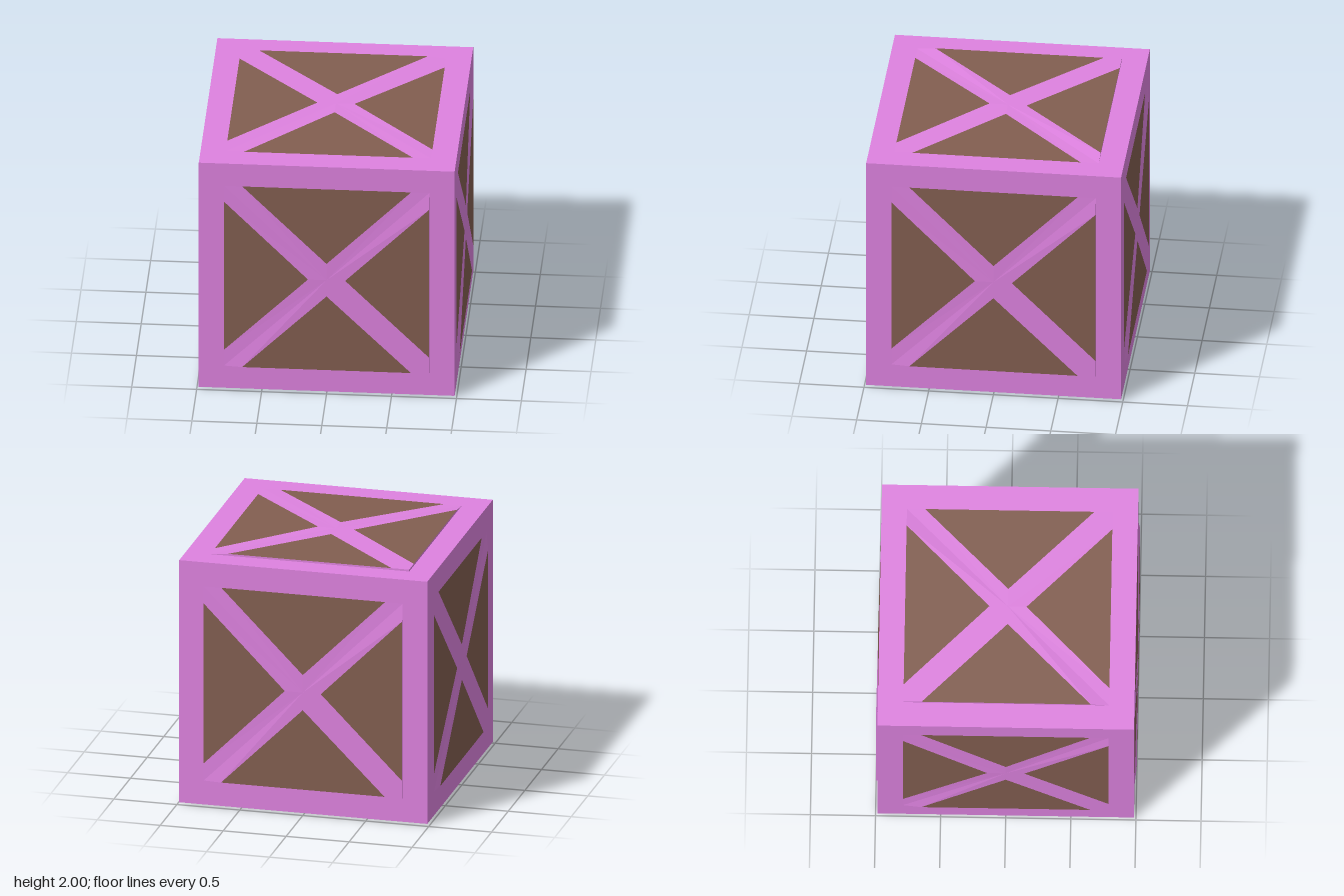
import * as THREE from 'three';

const HALF = 0.985;  // frame surface
const RAISED = 1.0;  // panel surface
const IN = 0.79;     // inner edge of the frame
const END = 0.65;    // where a brace meets the frame
const TIP = 0.143;   // inner tip of each panel

const pink = new THREE.MeshStandardMaterial({ color: 0xde82e0, flatShading: true, side: THREE.DoubleSide });
const brown = new THREE.MeshStandardMaterial({ color: 0x825e50, flatShading: true, side: THREE.DoubleSide });

// Panels stand proud on two sides and slope down to the frame on the other two
const height = (x, y) => (x < -0.78 || y > 0.78 ? HALF + 0.001 : RAISED);

// Fan-triangulated polygons; points are [x, y] or [x, y, z]
function polygons(name, list, material) {
  const pos = [];
  for (const pts of list) {
    const v = pts.map(([x, y, z]) => [x, y, z ?? height(x, y)]);
    for (let i = 1; i < v.length - 1; i++) pos.push(...v[0], ...v[i], ...v[i + 1]);
  }
  const geo = new THREE.BufferGeometry();
  geo.setAttribute('position', new THREE.Float32BufferAttribute(pos, 3));
  geo.computeVertexNormals();
  const mesh = new THREE.Mesh(geo, material);
  mesh.name = name;
  return mesh;
}

// Quarter turns of a flat outline
function quarters(pts) {
  const turns = [pts];
  for (let i = 1; i < 4; i++) turns.push(turns[i - 1].map(([x, y]) => [-y, x]));
  return turns;
}

function createSide(name) {
  const side = new THREE.Group();
  side.name = name;
  // Four triangular boards
  side.add(polygons('boards', quarters([[TIP, 0], [IN, -END], [IN, END]]), brown));
  // Diagonal cross brace
  side.add(polygons('crossBrace', quarters(
    [[0, 0], [TIP, 0], [IN, END], [IN, IN], [END, IN], [0, TIP]]), pink));
  // Thin walls under the two proud edges
  side.add(polygons('panelEdges', [
    [[IN, -IN, HALF], [IN, IN, HALF], [IN, END, RAISED], [IN, -IN, RAISED]],
    [[-IN, -IN, HALF], [IN, -IN, HALF], [IN, -IN, RAISED], [-END, -IN, RAISED]],
  ], pink));
  return side;
}

export function createModel() {
  const crate = new THREE.Group();
  crate.name = 'crate';

  // Square frame body
  const frame = new THREE.Mesh(new THREE.BoxGeometry(2 * HALF, 2 * HALF, 2 * HALF), pink);
  frame.name = 'frame';
  frame.position.y = 1;
  crate.add(frame);

  // Six braced sides: name, turn about x, turn about y
  const q = Math.PI / 2;
  const sides = [
    ['frontSide', 0, 0], ['leftSide', 0, q], ['backSide', 0, 2 * q],
    ['rightSide', 0, -q], ['topSide', -q, 2 * q], ['bottomSide', q, 0],
  ];
  for (const [name, rx, ry] of sides) {
    const side = createSide(name);
    side.rotation.set(rx, ry, 0, 'YXZ');
    side.position.y = 1;
    crate.add(side);
  }
  return crate;
}
